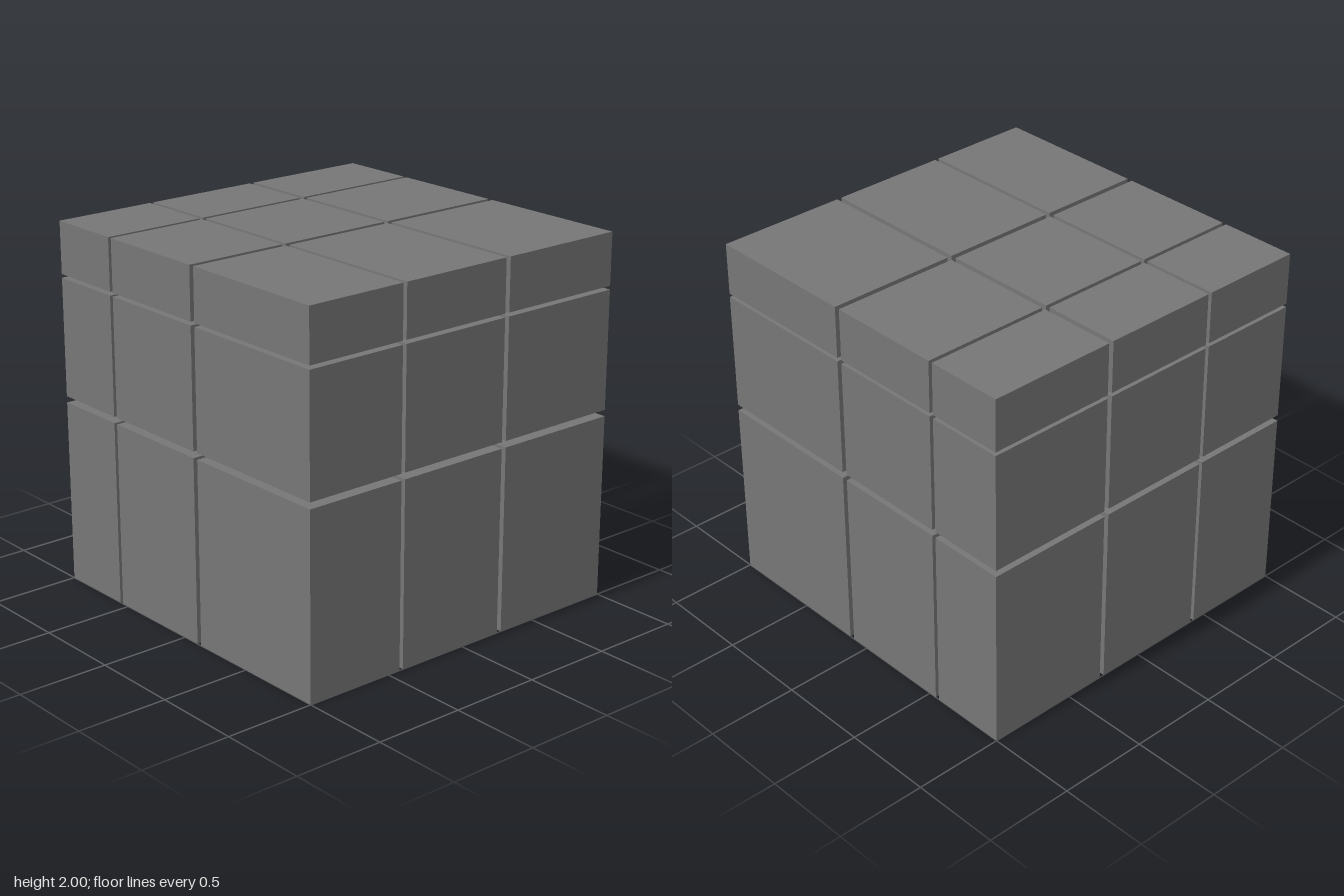
import * as THREE from 'three';

// Start and end of the three uneven layers along each axis
const SPANS = {
  x: [[-1, -0.425], [-0.402, 0.25], [0.278, 1]],
  y: [[0, 1.01], [1.045, 1.695], [1.715, 2]],
  z: [[-1, -0.568], [-0.545, 0.105], [0.135, 1]],
};
const COLUMNS = ['right', 'middle', 'left'];
const LAYERS = ['bottom', 'centre', 'top'];
const ROWS = ['Back', 'Middle', 'Front'];

const size = ([a, b]) => b - a;
const middle = ([a, b]) => (a + b) / 2;

export function createModel() {
  const model = new THREE.Group();
  model.name = 'unevenPuzzleCube';
  const material = new THREE.MeshStandardMaterial({ color: 0x767676 });

  // One group per horizontal layer, nine separate blocks in each
  SPANS.y.forEach((y, j) => {
    const layer = new THREE.Group();
    layer.name = `${LAYERS[j]}Layer`;
    SPANS.x.forEach((x, i) => SPANS.z.forEach((z, k) => {
      const block = new THREE.Mesh(new THREE.BoxGeometry(size(x), size(y), size(z)), material);
      block.position.set(middle(x), middle(y), middle(z));
      block.name = `${COLUMNS[i]}${ROWS[k]}Block`;
      layer.add(block);
    }));
    model.add(layer);
  });
  return model;
}
